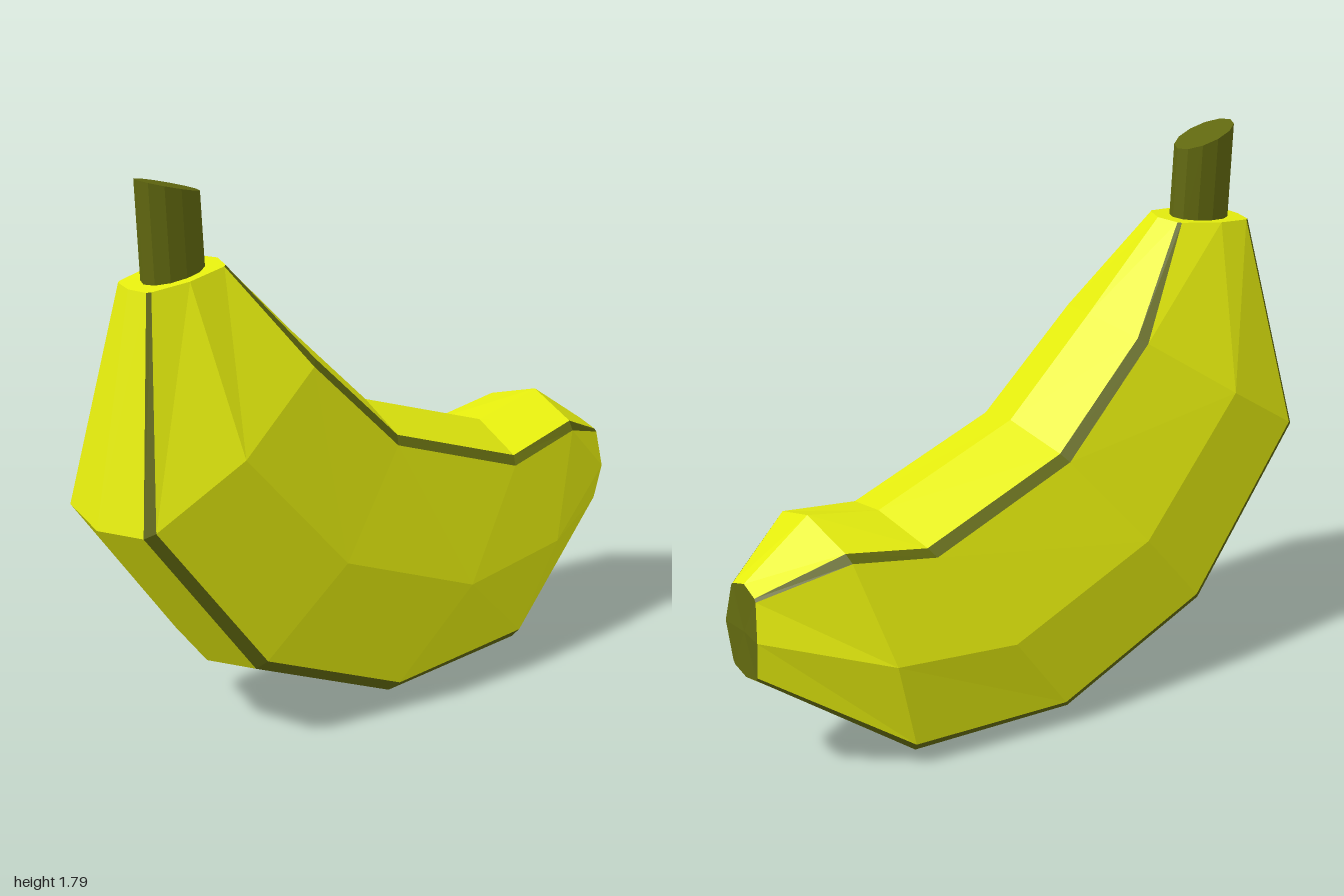
import * as THREE from 'three';

// Stations along the fruit: [top ridge x,y], [side ridge x,y], [bottom ridge x,y], half width
const STATIONS = [
  [[-0.56, 1.52], [-0.73, 1.5], [-0.87, 1.48], 0.1],
  [[-0.3, 1.25], [-0.67, 0.99], [-1.0, 0.77], 0.27],
  [[0.0, 0.96], [-0.31, 0.58], [-0.61, 0.24], 0.298],
  [[0.49, 0.78], [0.2, 0.37], [-0.08, 0.005], 0.305],
  [[0.74, 0.83], [0.61, 0.4], [0.5, 0.015], 0.27],
  [[0.97, 0.67], [0.99, 0.52], [0.985, 0.37], 0.095],
];

// Half cross-section: [height from side ridge (-1..1), share of half width]
const HALF = [[1, 0], [0.86, 0.68], [0.8, 0.77], [0, 1], [-0.82, 0.77], [-0.9, 0.68], [-1, 0]];
const PROFILE = [...HALF, ...HALF.slice(1, -1).reverse().map(([v, w]) => [v, -w])];
const N = PROFILE.length;
const STRIPES = [1, 4, 7, 10]; // profile segments that form the dark edges

function makeRing([top, mid, bottom, half]) {
  return PROFILE.map(([v, w]) => {
    const end = v > 0 ? top : bottom;
    const t = Math.abs(v);
    return [
      mid[0] + (end[0] - mid[0]) * t,
      mid[1] + (end[1] - mid[1]) * t,
      w * half + 0.018 * v * Math.min(1, half / 0.2), // slight twist
    ];
  });
}

function makeGeometry(triangles) {
  const geometry = new THREE.BufferGeometry();
  geometry.setAttribute('position', new THREE.Float32BufferAttribute(triangles.flat(), 3));
  geometry.computeVertexNormals();
  return geometry;
}

function fan(ring, flip) {
  const centre = [0, 1, 2].map((k) => ring.reduce((sum, p) => sum + p[k], 0) / N);
  return ring.flatMap((p, i) => {
    const q = ring[(i + 1) % N];
    return flip ? [centre, q, p] : [centre, p, q];
  });
}

export function createModel() {
  const group = new THREE.Group();
  group.name = 'banana';
  const yellow = new THREE.MeshStandardMaterial({ color: 0xe6ee0e, flatShading: true });
  const olive = new THREE.MeshStandardMaterial({ color: 0x61680f, flatShading: true });
  const add = (name, geometry, material) => {
    const mesh = new THREE.Mesh(geometry, material);
    mesh.name = name;
    group.add(mesh);
  };

  // Peel panels and the dark edges between them
  const rings = STATIONS.map(makeRing);
  const peel = [];
  const edges = [];
  for (let s = 0; s < rings.length - 1; s++) {
    for (let i = 0; i < N; i++) {
      const j = (i + 1) % N;
      const a = rings[s][i], b = rings[s][j], c = rings[s + 1][j], d = rings[s + 1][i];
      (STRIPES.includes(i) ? edges : peel).push(a, b, c, a, c, d);
    }
  }
  peel.push(...fan(rings[0], true)); // shoulder around the stem
  add('peel', makeGeometry(peel), yellow);
  add('peelEdges', makeGeometry(edges), olive);
  add('tip', makeGeometry(fan(rings[rings.length - 1], false)), olive);

  // Oval stem with a slanted cut
  const stem = new THREE.CylinderGeometry(1, 1, 1, 12);
  const pos = stem.attributes.position;
  for (let i = 0; i < pos.count; i++) {
    const x = pos.getX(i), z = pos.getZ(i);
    const isTop = pos.getY(i) > 0;
    pos.setXYZ(i, (isTop ? -0.73 : -0.715) + x * 0.105, isTop ? 1.765 - x * 0.03 : 1.46, z * 0.07);
  }
  stem.computeVertexNormals();
  add('stem', stem, olive);

  return group;
}
